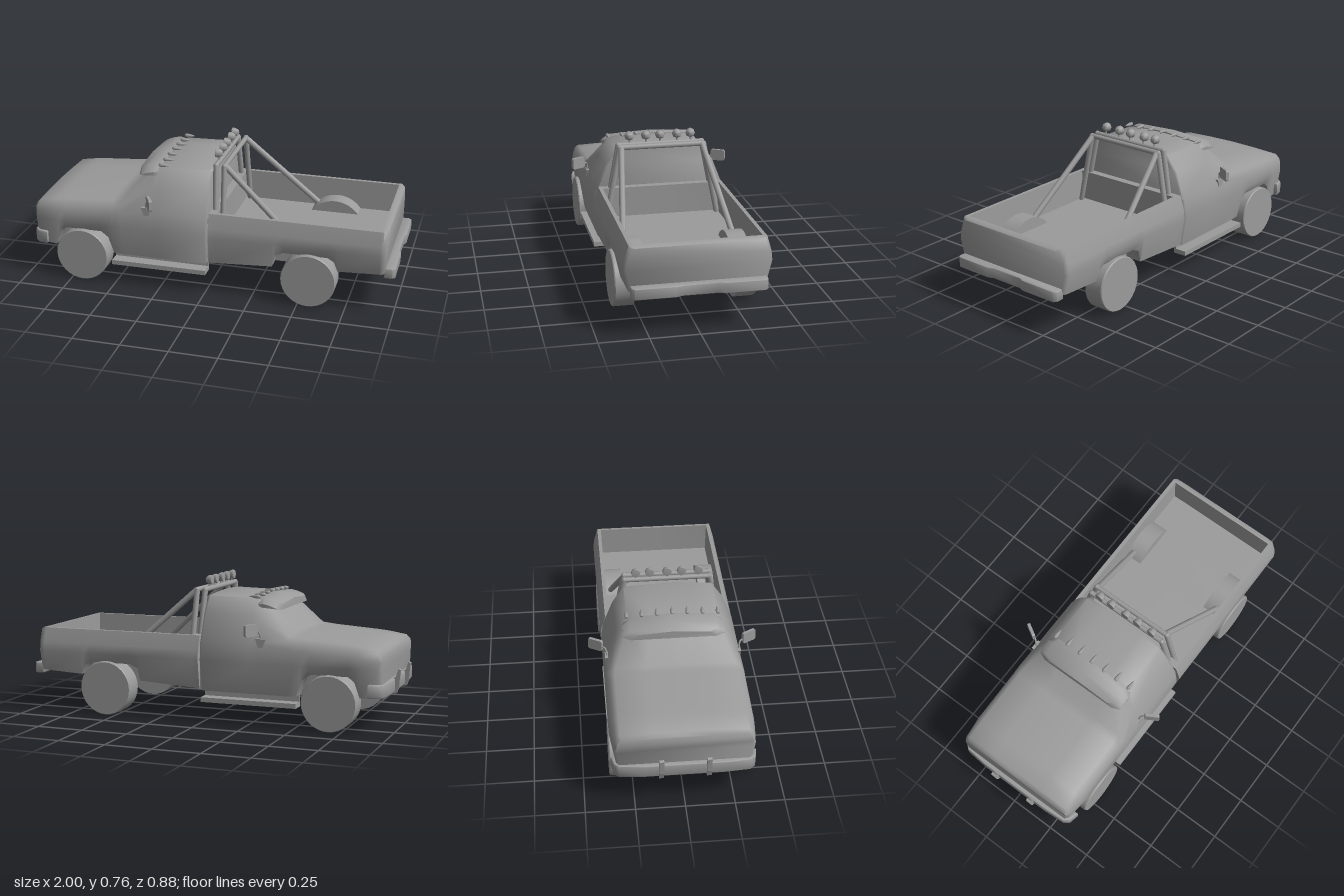
import * as THREE from 'three';
import { toCreasedNormals, mergeVertices } from 'three/addons/utils/BufferGeometryUtils.js';

const material = new THREE.MeshStandardMaterial({ color: 0x9b9b9b });

function add(parent, geometry, name, x = 0, y = 0, z = 0) {
  const mesh = new THREE.Mesh(geometry, material);
  mesh.name = name;
  mesh.position.set(x, y, z);
  parent.add(mesh);
  return mesh;
}

// Skins mirrored half sections [z, y] (bottom centre to top centre) along x
function loft(stations, crease) {
  const n = stations[0].pts.length, ring = 2 * n - 2;
  const points = [], out = [];
  for (const { x, pts } of stations) {
    for (let j = 0; j < ring; j++) {
      const [z, y] = j < n ? pts[j] : pts[ring - j];
      points.push(new THREE.Vector3(x, y, j < n ? z : -z));
    }
  }
  const tri = (a, b, c) => {
    const [p, q, r] = [points[a], points[b], points[c]];
    if (new THREE.Triangle(p, q, r).getArea() > 1e-8) out.push(...p.toArray(), ...q.toArray(), ...r.toArray());
  };
  const quad = (a, b, c, d) => { tri(a, b, c); tri(a, c, d); };
  for (let i = 0; i < stations.length - 1; i++) {
    for (let j = 0; j < ring; j++) {
      const a = i * ring, b = a + ring, k = (j + 1) % ring;
      quad(a + j, b + j, b + k, a + k);
    }
  }
  const end = (stations.length - 1) * ring;
  for (let j = 0; j < n - 1; j++) {
    const l = (ring - j) % ring, l2 = ring - j - 1;
    quad(end + l, end + l2, end + j + 1, end + j);
    quad(l, j, j + 1, l2);
  }
  const geometry = new THREE.BufferGeometry();
  geometry.setAttribute('position', new THREE.Float32BufferAttribute(out, 3));
  return toCreasedNormals(mergeVertices(geometry), crease);
}

// Round bar between two points
function rod(parent, name, a, b, r, sides = 8) {
  const p = new THREE.Vector3(...a), q = new THREE.Vector3(...b);
  const d = q.clone().sub(p);
  const mesh = add(parent, new THREE.CylinderGeometry(r, r, d.length(), sides), name);
  mesh.position.copy(p).add(q).multiplyScalar(0.5);
  mesh.quaternion.setFromUnitVectors(new THREE.Vector3(0, 1, 0), d.normalize());
}

const toShape = (points) => new THREE.Shape(points.map((p) => new THREE.Vector2(...p)));

// Plan outline [x, z] given for the +z half, extruded upwards
function planExtrude(half, height, bevel) {
  const outline = [...half, ...half.map(([x, z]) => [x, -z]).reverse()];
  const geometry = new THREE.ExtrudeGeometry(toShape(outline.map(([x, z]) => [x, -z])), {
    depth: height - 2 * bevel, bevelThickness: bevel, bevelSize: bevel, bevelOffset: -bevel, bevelSegments: 2,
  });
  return toCreasedNormals(geometry.rotateX(-Math.PI / 2).translate(0, bevel, 0), 0.8);
}

export function createModel() {
  const truck = new THREE.Group();
  truck.name = 'pickupTruck';

  // Hood and cab: x, floor, arch, belt half width, shoulder z y, pillar z y, roof edge z y, centre y
  const cab = [
    [-0.95, 0.185, 0.185, 0.335, 0.335, 0.36, 0.33, 0.39, 0.31, 0.405, 0.415],
    [-0.93, 0.18, 0.18, 0.35, 0.345, 0.37, 0.335, 0.405, 0.315, 0.422, 0.432],
    [-0.84, 0.175, 0.18, 0.36, 0.353, 0.38, 0.34, 0.42, 0.315, 0.437, 0.45],
    [-0.81, 0.175, 0.265, 0.363, 0.356, 0.385, 0.342, 0.423, 0.315, 0.44, 0.454],
    [-0.78, 0.175, 0.285, 0.364, 0.356, 0.385, 0.342, 0.425, 0.315, 0.443, 0.457],
    [-0.58, 0.17, 0.285, 0.364, 0.357, 0.395, 0.344, 0.437, 0.315, 0.457, 0.472],
    [-0.54, 0.165, 0.255, 0.364, 0.357, 0.4, 0.344, 0.44, 0.315, 0.46, 0.475],
    [-0.51, 0.16, 0.168, 0.364, 0.357, 0.4, 0.344, 0.443, 0.315, 0.463, 0.477],
    [-0.46, 0.16, 0.165, 0.364, 0.357, 0.41, 0.342, 0.45, 0.31, 0.47, 0.481],
    [-0.31, 0.16, 0.165, 0.364, 0.35, 0.43, 0.3, 0.54, 0.235, 0.628, 0.64],
    [-0.26, 0.16, 0.165, 0.364, 0.35, 0.43, 0.295, 0.56, 0.235, 0.648, 0.66],
    [0.0, 0.16, 0.165, 0.364, 0.35, 0.43, 0.295, 0.57, 0.235, 0.655, 0.667],
    [0.012, 0.165, 0.175, 0.355, 0.342, 0.43, 0.287, 0.565, 0.228, 0.65, 0.662],
  ].map(([x, yb, ya, w, zs, ys, zm, ym, zu, yu, yc]) => ({
    x, pts: [[0, yb], [0.25, yb], [0.25, ya], [w - 0.025, ya], [w, 0.33], [zs, ys], [zm, ym], [zu, yu], [zu * 0.5, yc - 0.003], [0, yc]],
  }));
  add(truck, loft(cab, 1), 'cabAndHood');

  // Open cargo bed: x, underside, arch, inner floor, width change
  const bed = [
    [0.02, 0.168, 0.175, 0.455, 0],
    [0.06, 0.17, 0.177, 0.455, 0],
    [0.061, 0.17, 0.177, 0.295, 0],
    [0.36, 0.19, 0.195, 0.295, 0],
    [0.375, 0.19, 0.26, 0.295, 0],
    [0.42, 0.19, 0.28, 0.295, 0],
    [0.65, 0.2, 0.28, 0.295, 0],
    [0.685, 0.2, 0.26, 0.295, 0],
    [0.705, 0.205, 0.21, 0.295, 0],
    [0.919, 0.22, 0.22, 0.295, 0],
    [0.92, 0.22, 0.22, 0.455, 0],
    [0.935, 0.222, 0.222, 0.455, 0],
    [0.952, 0.225, 0.225, 0.445, -0.012],
  ].map(([x, yb, ya, f, dw]) => ({
    x, pts: [[0, yb], [0.25, yb], [0.25, ya], [0.34 + dw, ya], [0.366 + dw, 0.33], [0.36 + dw, 0.38],
      [0.338 + dw, 0.455 + dw], [0.318 + dw, 0.455 + dw], [0.313 + dw, f], [0, f]],
  }));
  add(truck, loft(bed, 1), 'cargoBed');

  // Filler closing the gap between cab and bed, set back from the skin
  add(truck, new THREE.BoxGeometry(0.04, 0.25, 0.66), 'cabBedJoint', 0.015, 0.295, 0);

  // Shared shapes for the parts on both sides
  const tyre = [[0, -0.0525], [0.145, -0.0525], [0.145, 0.047], [0.141, 0.0525], [0, 0.0525]].map((p) => new THREE.Vector2(...p));
  const wheel = toCreasedNormals(new THREE.LatheGeometry(tyre, 32), 0.5);
  const arc = new THREE.Shape().absarc(0, 0, 0.16, 0.61, Math.PI - 0.61);
  const housing = toCreasedNormals(new THREE.ExtrudeGeometry(arc, { depth: 0.095, bevelEnabled: false, curveSegments: 12 }), 0.6);
  const mount = toShape([[-0.028, 0.022], [-0.012, -0.022], [0.014, -0.022], [0.028, 0.022]]);
  const mountGeometry = new THREE.ExtrudeGeometry(mount, { depth: 0.02, bevelEnabled: false });
  const head = new THREE.Shape();
  const hw = 0.04, hh = 0.031, c = 0.012;
  head.moveTo(-hw + c, -hh).lineTo(hw - c, -hh).quadraticCurveTo(hw, -hh, hw, -hh + c).lineTo(hw, hh - c)
    .quadraticCurveTo(hw, hh, hw - c, hh).lineTo(-hw + c, hh).quadraticCurveTo(-hw, hh, -hw, hh - c)
    .lineTo(-hw, -hh + c).quadraticCurveTo(-hw, -hh, -hw + c, -hh);
  const headGeometry = new THREE.ExtrudeGeometry(head, { depth: 0.016, bevelEnabled: false }).translate(0, 0, -0.008);

  for (const s of [1, -1]) {
    const side = s > 0 ? 'left' : 'right';
    for (const [x, end] of [[-0.685, 'Front'], [0.555, 'Rear']]) {
      add(truck, wheel, side + end + 'Wheel', x, 0.145, s * 0.3145).rotation.x = s * Math.PI / 2;
    }
    add(truck, new THREE.BoxGeometry(0.52, 0.025, 0.075), side + 'Step', -0.255, 0.121, s * 0.325);
    add(truck, new THREE.BoxGeometry(0.52, 0.06, 0.012), side + 'StepSkirt', -0.255, 0.14, s * 0.293);
    add(truck, housing, side + 'WheelHousing', 0.585, 0.2, s > 0 ? 0.22 : -0.315);

    // Mirror: mount, bent arm and angled head
    add(truck, mountGeometry, side + 'MirrorMount', -0.32, 0.433, s > 0 ? 0.335 : -0.355);
    const arm = new THREE.CatmullRomCurve3([[-0.32, 0.445, 0.345], [-0.318, 0.475, 0.347], [-0.308, 0.493, 0.355], [-0.298, 0.495, 0.375]]
      .map(([x, y, z]) => new THREE.Vector3(x, y, s * z)));
    add(truck, new THREE.TubeGeometry(arm, 10, 0.005, 6), side + 'MirrorArm');
    add(truck, headGeometry, side + 'Mirror', -0.285, 0.503, s * 0.401).rotation.y = -s * 1.05;

    // Brace running back from the roll bar to the bed
    rod(truck, side + 'RollBarBrace', [0.08, 0.68, s * 0.22], [0.48, 0.32, s * 0.285], 0.016);
  }

  // Double roll bar
  [[0.03, 0.683, 0.045], [0.075, 0.682, 0.085]].forEach(([x, y, foot], i) => {
    const hoop = new THREE.Group();
    hoop.name = i ? 'rearRollBar' : 'frontRollBar';
    truck.add(hoop);
    rod(hoop, 'crossbar', [x, y, -0.228], [x, y, 0.228], 0.014);
    for (const s of [1, -1]) {
      rod(hoop, 'leg', [x, y, s * 0.228], [foot, 0.295, s * 0.303], 0.015);
      add(hoop, new THREE.SphereGeometry(0.015, 8, 6), 'corner', x, y, s * 0.228);
    }
  });

  // Spot lamps on the roll bar, lenses facing forward
  const lamp = new THREE.LatheGeometry([[0, -0.022], [0.014, -0.016], [0.023, -0.004], [0.026, 0.01], [0.024, 0.018], [0, 0.021]]
    .map((p) => new THREE.Vector2(...p)), 8).rotateZ(Math.PI / 2);
  const lampGeometry = toCreasedNormals(lamp, 1);
  for (const z of [-0.167, -0.093, 0, 0.077, 0.167]) {
    add(truck, lampGeometry, 'spotLamp', 0.03, 0.73, z);
    rod(truck, 'spotLampStem', [0.03, 0.68, z], [0.03, 0.72, z], 0.005, 6);
  }

  // Sun visor over the windshield, drooping at its ends
  const visor = [[-0.392, 0.22, 0.628, 0.636], [-0.375, 0.262, 0.63, 0.644], [-0.34, 0.262, 0.632, 0.658], [-0.3, 0.262, 0.635, 0.667], [-0.27, 0.25, 0.64, 0.664]]
    .map(([x, w, y0, y1]) => ({ x, pts: [[0, y0], [w * 0.8, y0 - 0.006], [w, y0 - 0.03], [w, y1 - 0.042], [w * 0.85, y1 - 0.012], [0, y1]] }));
  add(truck, loft(visor, 0.9), 'sunVisor');

  // Marker lamps lying on the roof behind the visor
  const marker = new THREE.LatheGeometry([[0, -0.032], [0.009, -0.028], [0.011, -0.015], [0.007, 0.01], [0, 0.032]]
    .map((p) => new THREE.Vector2(...p)), 8).rotateZ(-Math.PI / 2);
  for (let i = -3; i <= 3; i++) add(truck, marker, 'markerLamp', -0.25, 0.668 - Math.abs(i) * 0.003, i * 0.079);

  // Front bumper wrapping round the nose, with two guards
  const front = [[-0.972, 0.2], [-0.962, 0.325], [-0.94, 0.35], [-0.885, 0.362], [-0.885, 0.34], [-0.93, 0.32]];
  add(truck, planExtrude(front, 0.07, 0.006), 'frontBumper', 0, 0.185, 0);
  const guard = toShape([[-0.955, 0.175], [-0.98, 0.18], [-0.993, 0.22], [-1, 0.3], [-0.988, 0.305], [-0.975, 0.265], [-0.955, 0.25]]);
  const guardGeometry = new THREE.ExtrudeGeometry(guard, { depth: 0.024, bevelEnabled: false });
  for (const s of [1, -1]) add(truck, guardGeometry, 'bumperGuard', 0, 0, s * 0.118 - 0.012);

  // Rear bumper with a shallow centre recess
  const rear = [[0.945, 0.335], [0.985, 0.335], [1, 0.32], [1, 0.12], [0.988, 0.09]];
  add(truck, planExtrude(rear, 0.057, 0.004), 'rearBumper', 0, 0.2, 0);

  return truck;
}
